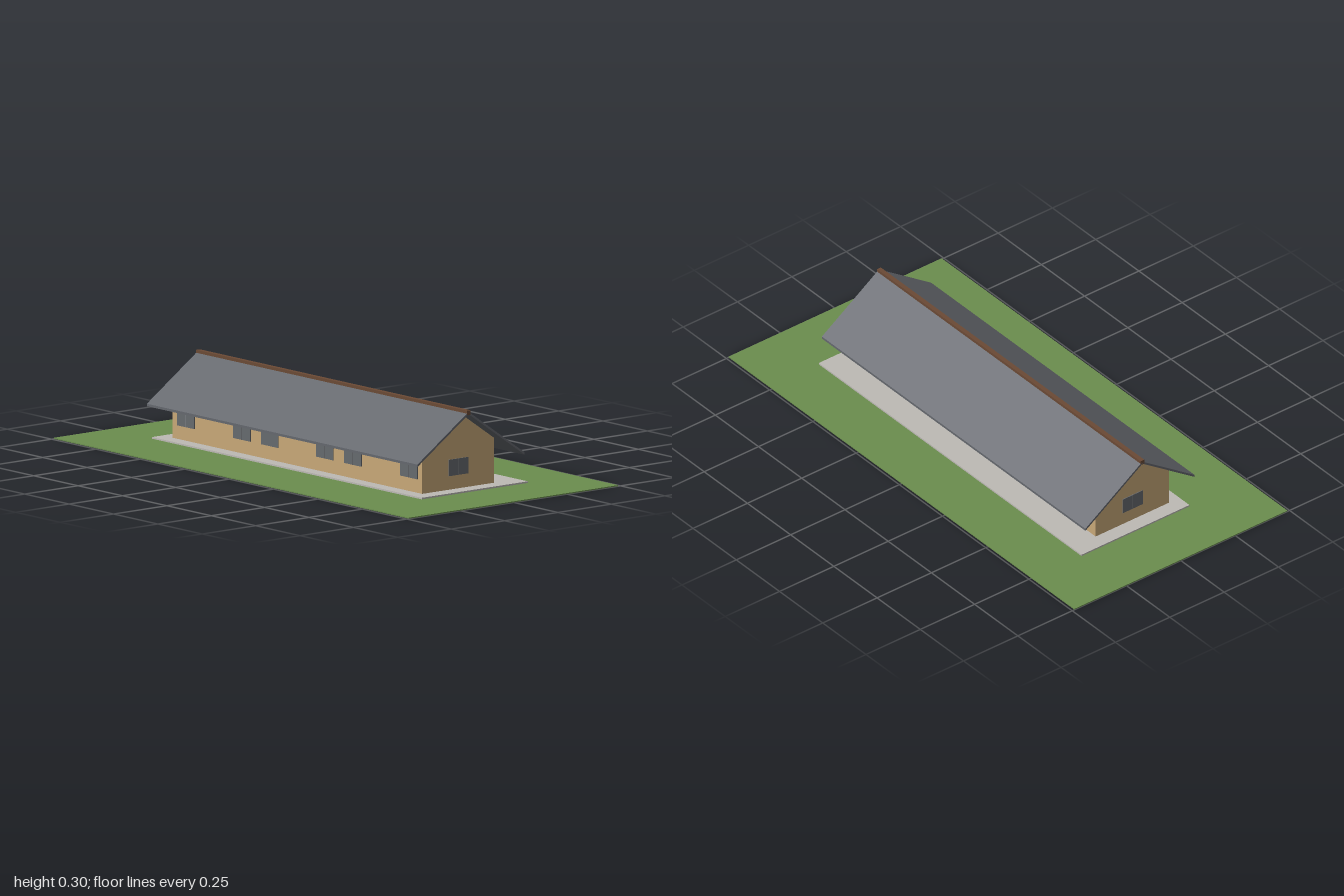
import * as THREE from 'three';

const mat = (name, color) => {
  const m = new THREE.MeshStandardMaterial({ color });
  m.name = name;
  return m;
};

export function createModel() {
  const model = new THREE.Group();
  model.name = 'longHouse';

  const grass = mat('grass green', 0x6b8e4e);
  const concrete = mat('concrete grey', 0xbdbab5);
  const plaster = mat('wall tan', 0xc8a878);
  const slate = mat('roof grey', 0x65686e);
  const timber = mat('ridge brown', 0x6b4a35);
  const wood = mat('door brown', 0xa5825f);
  const glass = mat('window glass grey', 0x666a6e);
  const frame = mat('window mullion grey', 0x83868a);

  // Box given by its extents on each axis
  function box(name, material, [x0, x1], [y0, y1], [z0, z1], parent = model) {
    const mesh = new THREE.Mesh(new THREE.BoxGeometry(x1 - x0, y1 - y0, z1 - z0), material);
    mesh.position.set((x0 + x1) / 2, (y0 + y1) / 2, (z0 + z1) / 2);
    mesh.name = name;
    parent.add(mesh);
  }

  // Cross-section in x and y, extruded along z and centred on it
  function prism(name, material, points, halfLength) {
    const shape = new THREE.Shape(points.map(([x, y]) => new THREE.Vector2(x, y)));
    const geometry = new THREE.ExtrudeGeometry(shape, { depth: halfLength * 2, bevelEnabled: false });
    geometry.translate(0, 0, -halfLength);
    const mesh = new THREE.Mesh(geometry, material);
    mesh.name = name;
    model.add(mesh);
  }

  // Lawn and paved base
  box('lawn', grass, [-0.49, 0.49], [0, 0.004], [-1, 1]);
  box('foundationSlab', concrete, [-0.23, 0.266], [0.004, 0.01], [-0.76, 0.76]);

  // Gabled walls
  const ridgeX = -0.0125, ridgeY = 0.29, slope = 0.687;
  const underside = (x) => ridgeY - slope * Math.abs(x - ridgeX);
  const left = 0.156, right = -0.181, wallZ = 0.703;
  prism('walls', plaster, [
    [right, 0.01], [left, 0.01], [left, underside(left)], [ridgeX, ridgeY], [right, underside(right)],
  ], wallZ);

  // Roof slopes with overhanging eaves
  const thick = 0.009, roofZ = 0.762;
  for (const [name, x] of [['leftRoof', 0.25], ['rightRoof', -0.252]]) {
    prism(name, slate, [
      [ridgeX, ridgeY], [x, underside(x)], [x, underside(x) + thick], [ridgeX, ridgeY + thick],
    ], roofZ);
  }
  box('ridgeBeam', timber, [-0.021, -0.004], [0.287, 0.304], [-roofZ, roofZ]);

  // Two-pane window lying on a wall, facing local +z
  function addWindow(name, width, x, z, angle) {
    const group = new THREE.Group();
    group.name = name;
    const h = width / 2;
    box('leftPane', glass, [-h, -0.001], [0.06, 0.12], [-0.001, 0.003], group);
    box('rightPane', glass, [0.001, h], [0.06, 0.12], [-0.001, 0.003], group);
    box('mullion', frame, [-0.001, 0.001], [0.06, 0.12], [-0.001, 0.0034], group);
    group.position.set(x, 0, z);
    group.rotation.y = angle;
    model.add(group);
  }

  addWindow('frontWindow', 0.092, ridgeX, wallZ, 0);
  addWindow('backWindow', 0.092, ridgeX, -wallZ, Math.PI);
  for (const z of [0.63, 0.315, 0.157, -0.153, -0.31, -0.625]) {
    addWindow('leftWindow', 0.096, left, z, Math.PI / 2);
    addWindow('rightWindow', 0.096, right, z, -Math.PI / 2);
  }

  // Doors on the side with the wider paving
  for (const z of [0.472, 0.002, -0.467]) {
    box('door', wood, [left - 0.001, left + 0.003], [0.01, 0.12], [z - 0.024, z + 0.024]);
  }

  return model;
}
